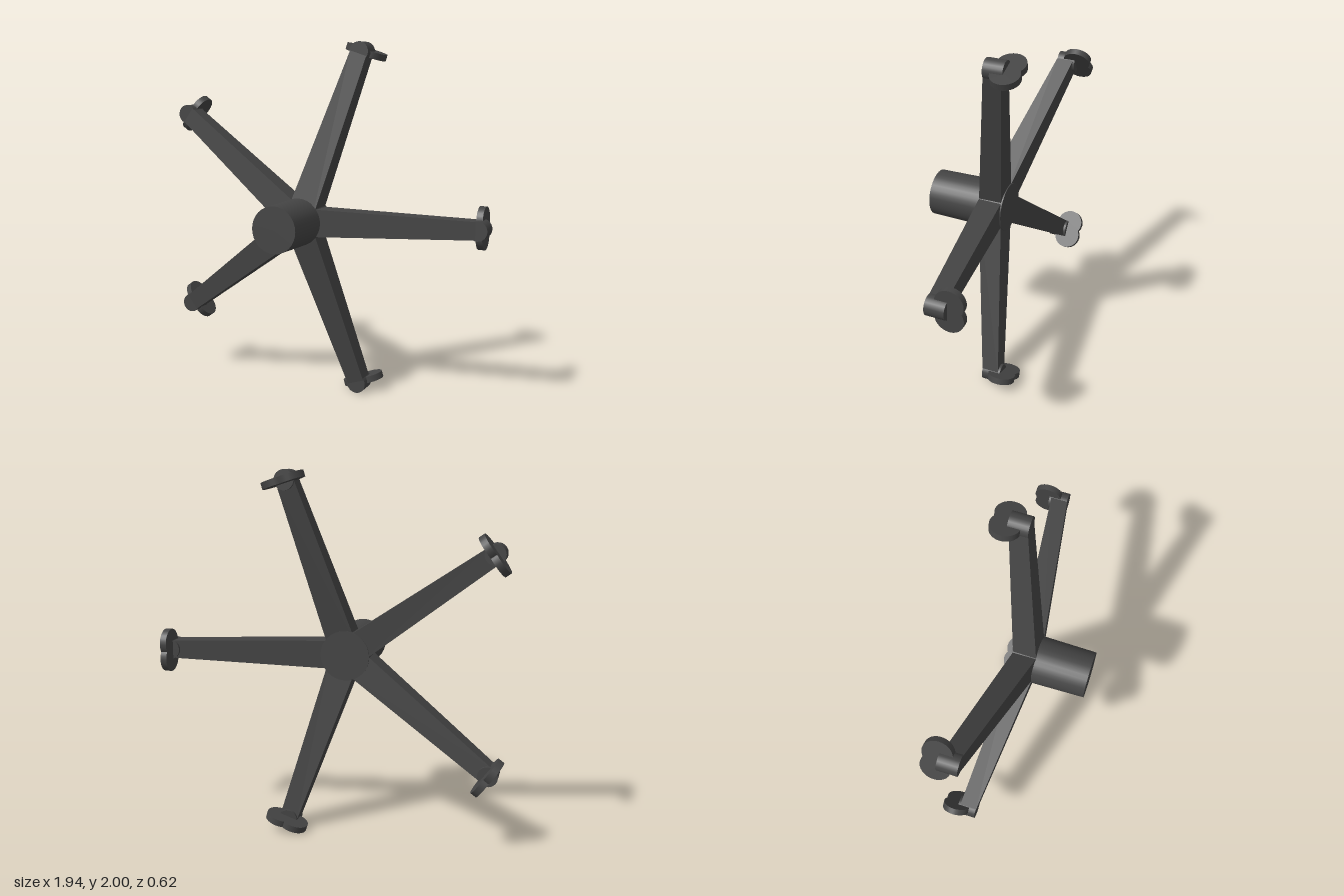
import * as THREE from 'three';

const material = new THREE.MeshStandardMaterial({ color: 0x444444 });

function mesh(name, geometry) {
  const m = new THREE.Mesh(geometry, material);
  m.name = name;
  return m;
}

// cylinder along z between zBack and zFront
function zCylinder(rFront, rBack, zBack, zFront, sides) {
  return new THREE.CylinderGeometry(rFront, rBack, zFront - zBack, sides)
    .rotateX(Math.PI / 2)
    .translate(0, 0, (zFront + zBack) / 2);
}

// tapered, swept-back box running along +x
function armGeometry() {
  const root = { x: 0.03, half: 0.08, back: -0.113, front: 0.022 };
  const tip = { x: 0.985, half: 0.05, back: -0.215, front: -0.118 };
  const geometry = new THREE.BoxGeometry(1, 1, 1);
  const p = geometry.attributes.position;
  for (let i = 0; i < p.count; i++) {
    const end = p.getX(i) < 0 ? root : tip;
    p.setXYZ(i, end.x, Math.sign(p.getY(i)) * end.half, p.getZ(i) < 0 ? end.back : end.front);
  }
  geometry.computeVertexNormals();
  return geometry;
}

export function createModel() {
  const model = new THREE.Group();
  model.name = 'starBase';
  const star = new THREE.Group();
  star.name = 'star';
  star.position.set(-0.085, 1, 0);
  model.add(star);

  // central hub
  star.add(mesh('hub', zCylinder(0.13, 0.137, -0.13, 0.31, 32)));

  // five arms, each with a castor post and a pair of overlapping wheels
  const arm = armGeometry();
  const post = zCylinder(0.055, 0.055, -0.225, -0.118, 24);
  const wheel = new THREE.CylinderGeometry(0.078, 0.078, 0.036, 28).rotateZ(Math.PI / 2);
  for (let i = 0; i < 5; i++) {
    const leg = new THREE.Group();
    leg.name = 'leg' + (i + 1);
    leg.rotation.z = (i * Math.PI * 2) / 5;
    leg.add(mesh('arm', arm));

    const castor = new THREE.Group();
    castor.name = 'castor';
    castor.position.x = 0.995;
    castor.add(mesh('post', post));
    for (const side of [-1, 1]) {
      const w = mesh('wheel', wheel);
      w.position.set(0, side * 0.042, -0.235);
      castor.add(w);
    }
    leg.add(castor);
    star.add(leg);
  }
  return model;
}
